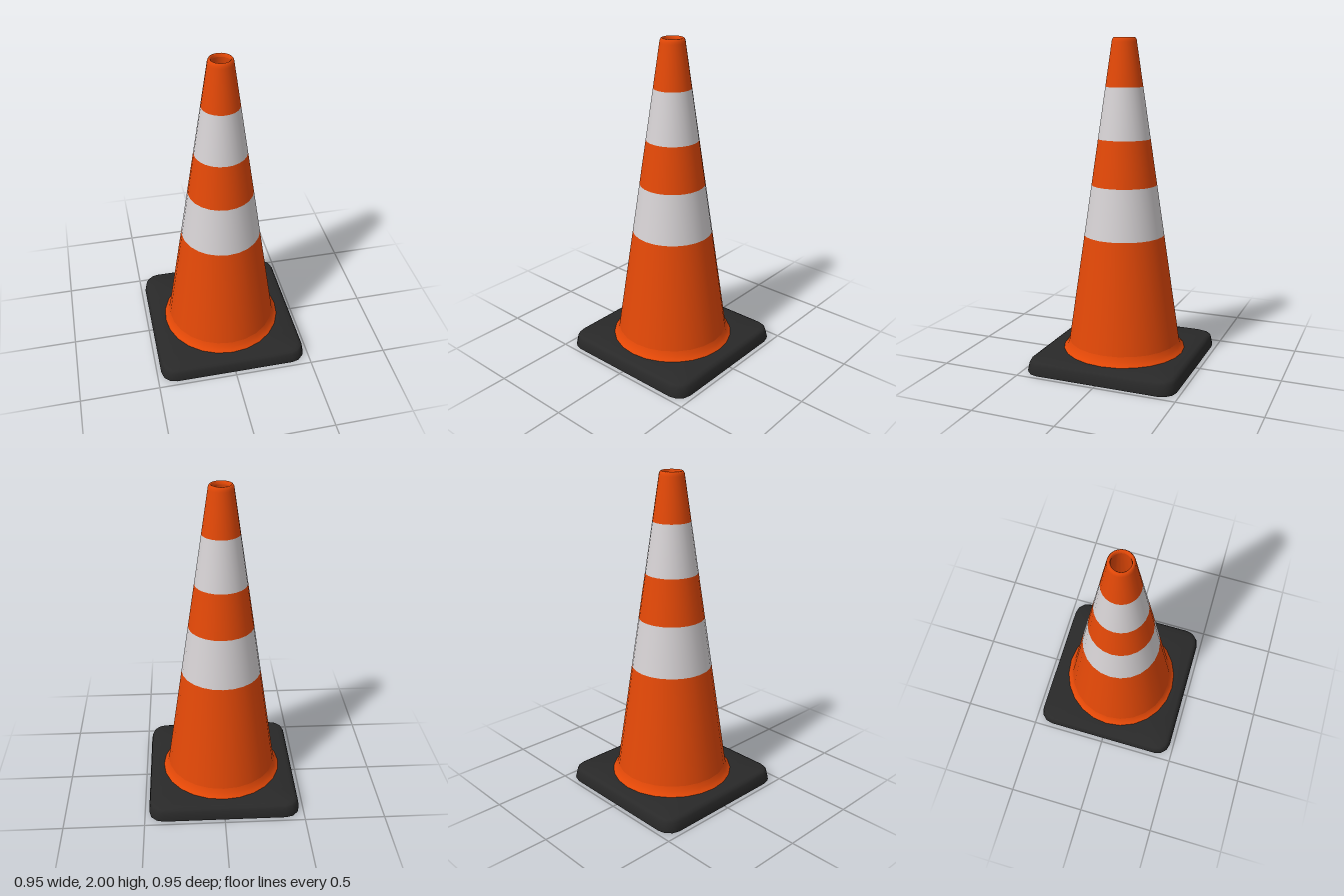
import * as THREE from 'three';
import { toCreasedNormals } from 'three/addons/utils/BufferGeometryUtils.js';

const SIDES = 24;

function material(name, color, side = THREE.FrontSide) {
  const m = new THREE.MeshStandardMaterial({ color, side });
  m.name = name;
  return m;
}

// Radius of the straight cone wall at a height
const wall = (y) => 0.35 - ((y - 0.12) * 0.274) / 1.85;

// Square with rounded corners, as points running anticlockwise seen from above
function roundedSquare(half, radius, y) {
  const points = [];
  for (let k = 0; k < 4; k++) {
    const corner = Math.PI / 4 + (k * Math.PI) / 2;
    const cx = Math.sign(Math.cos(corner)) * (half - radius);
    const cz = Math.sign(Math.sin(corner)) * (half - radius);
    const arc = [];
    for (let i = 0; i <= 3; i++) {
      const a = corner - Math.PI / 4 + (i * Math.PI) / 6;
      arc.push(new THREE.Vector3(cx + radius * Math.cos(a), y, -(cz + radius * Math.sin(a))));
    }
    points.push(...arc);
    // Points along the straight side to the next corner
    const nextCorner = new THREE.Vector3(arc[0].z, y, -arc[0].x);
    for (let i = 1; i < 6; i++) points.push(arc[3].clone().lerp(nextCorner, i / 6));
  }
  return points;
}

// Circle whose points face the points of another loop
const circleFacing = (loop, radius, y) =>
  loop.map((p) => {
    const s = radius / Math.hypot(p.x, p.z);
    return new THREE.Vector3(p.x * s, y, p.z * s);
  });

function baseGeometry() {
  const sections = [
    [0.472, 0.09, 0], [0.474, 0.09, 0.012], [0.466, 0.09, 0.06],
    [0.458, 0.085, 0.076], [0.44, 0.08, 0.085],
  ].map((s) => roundedSquare(...s));
  const bottom = circleFacing(sections[0], 0.342, 0);
  const top = circleFacing(sections[0], 0.345, 0.085);
  const rows = [bottom, ...sections, top, bottom];
  const n = bottom.length;
  const index = [];
  for (let r = 0; r < rows.length - 1; r++) {
    for (let i = 0; i < n; i++) {
      const a = r * n + i, b = r * n + ((i + 1) % n);
      index.push(a, b, b + n, a, b + n, a + n);
    }
  }
  const geometry = new THREE.BufferGeometry().setFromPoints(rows.flat());
  geometry.setIndex(index);
  return toCreasedNormals(geometry, 0.7);
}

export function createModel() {
  const group = new THREE.Group();
  const orange = material('orange plastic', 0xe34807, THREE.DoubleSide);
  const white = material('reflective white', 0xd6d2d4);
  const black = material('black rubber', 0x292929);

  const add = (name, geometry, mat) => {
    const mesh = new THREE.Mesh(geometry, mat);
    mesh.name = name;
    group.add(mesh);
  };
  const lathe = (name, profile, mat) =>
    add(name, new THREE.LatheGeometry(profile.map(([r, y]) => new THREE.Vector2(r, y)), SIDES), mat);

  // Square foot with a round opening
  add('base', baseGeometry(), black);

  // Flared skirt where the cone meets the foot
  lathe('skirt', [[0.382, 0.084], [0.372, 0.094], [0.357, 0.112], [wall(0.14), 0.14]], orange);

  // Cone wall in alternating bands
  const levels = [0.14, 0.81, 1.12, 1.4, 1.71, 1.97];
  for (let i = 0; i < levels.length - 1; i++) {
    const striped = i % 2 === 1;
    const [lo, hi] = [levels[i], levels[i + 1]];
    lathe(striped ? 'reflectiveBand' : 'coneBand', [[wall(lo), lo], [wall(hi), hi]], striped ? white : orange);
  }

  // Rounded rim around the top opening
  lathe('topRim', [[wall(1.97), 1.97], [0.074, 1.985], [0.068, 1.997], [0.062, 2], [0.056, 1.995], [0.054, 1.98]], orange);

  // Hollow inside
  lathe('innerWall', [[0.054, 1.98], [0.332, 0.1], [0.337, 0.002]], orange);

  return group;
}
